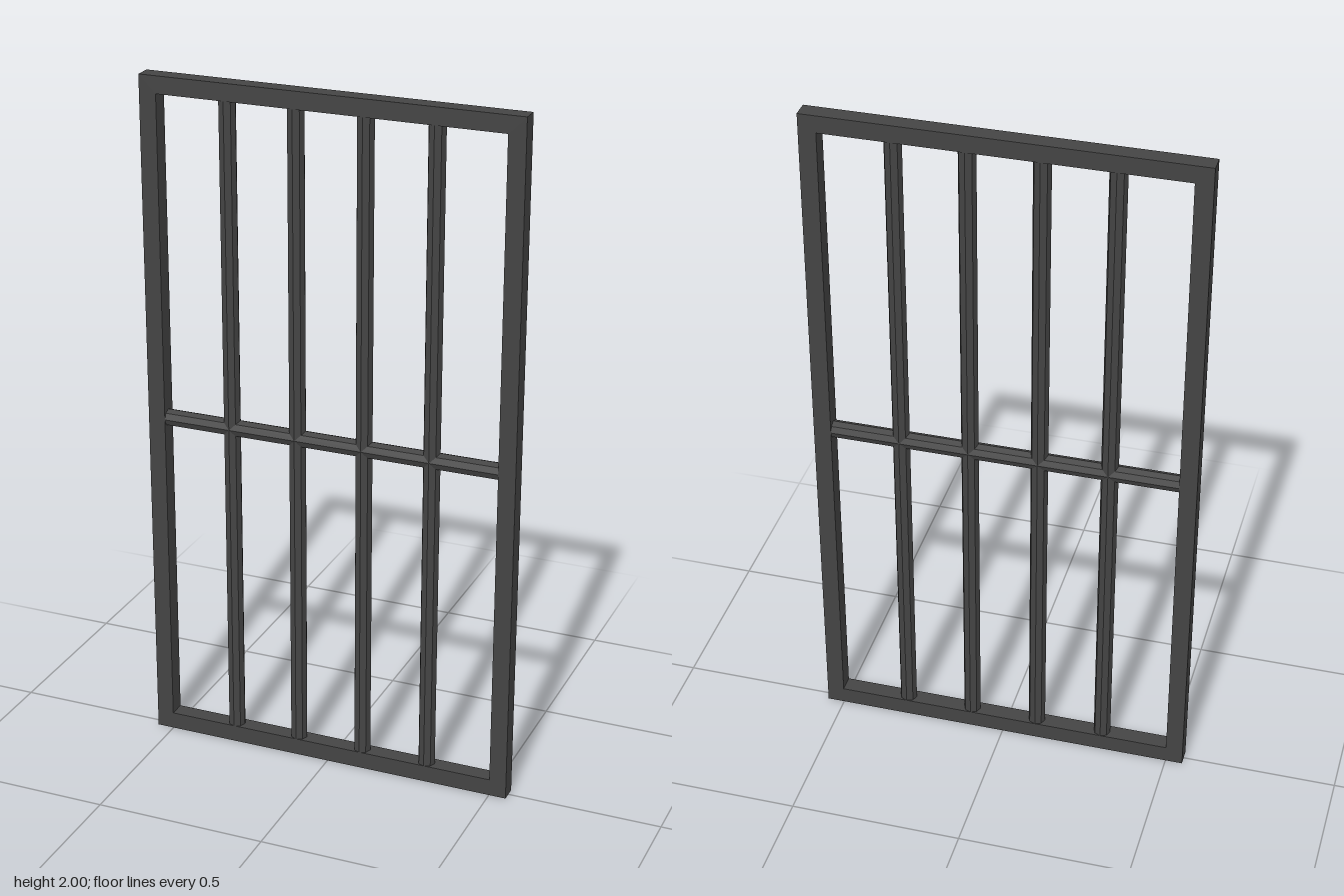
import * as THREE from 'three';

const WIDTH = 1.1, HEIGHT = 2, BORDER = 0.05, DEPTH = 0.05, BAR_RADIUS = 0.025;

// Rectangle outline centred on x, from y0 to y1
function rectangle(target, halfWidth, y0, y1) {
  target.moveTo(-halfWidth, y0);
  target.lineTo(halfWidth, y0);
  target.lineTo(halfWidth, y1);
  target.lineTo(-halfWidth, y1);
  target.closePath();
  return target;
}

export function createModel() {
  const model = new THREE.Group();
  model.name = 'barredWindow';
  const material = new THREE.MeshStandardMaterial({ color: 0x444444, flatShading: true });

  // Outer rectangular frame
  const outline = rectangle(new THREE.Shape(), WIDTH / 2, 0, HEIGHT);
  outline.holes.push(rectangle(new THREE.Path(), WIDTH / 2 - BORDER, BORDER, HEIGHT - BORDER));
  const frameGeometry = new THREE.ExtrudeGeometry(outline, { depth: DEPTH, bevelEnabled: false });
  frameGeometry.translate(0, 0, -DEPTH / 2);
  const frame = new THREE.Mesh(frameGeometry, material);
  frame.name = 'frame';
  model.add(frame);

  // Round bars with eight sides
  function addBar(name, length, x) {
    const geometry = new THREE.CylinderGeometry(BAR_RADIUS, BAR_RADIUS, length, 8);
    const bar = new THREE.Mesh(geometry, material);
    bar.name = name;
    bar.position.set(x, HEIGHT / 2, 0);
    model.add(bar);
    return bar;
  }

  // Four upright bars
  [-0.3, -0.1, 0.1, 0.3].forEach((x, i) => addBar(`uprightBar${i + 1}`, HEIGHT - 2 * BORDER, x));

  // Single crossbar at mid height
  addBar('crossbar', WIDTH - 2 * BORDER, 0).rotation.z = Math.PI / 2;

  return model;
}
